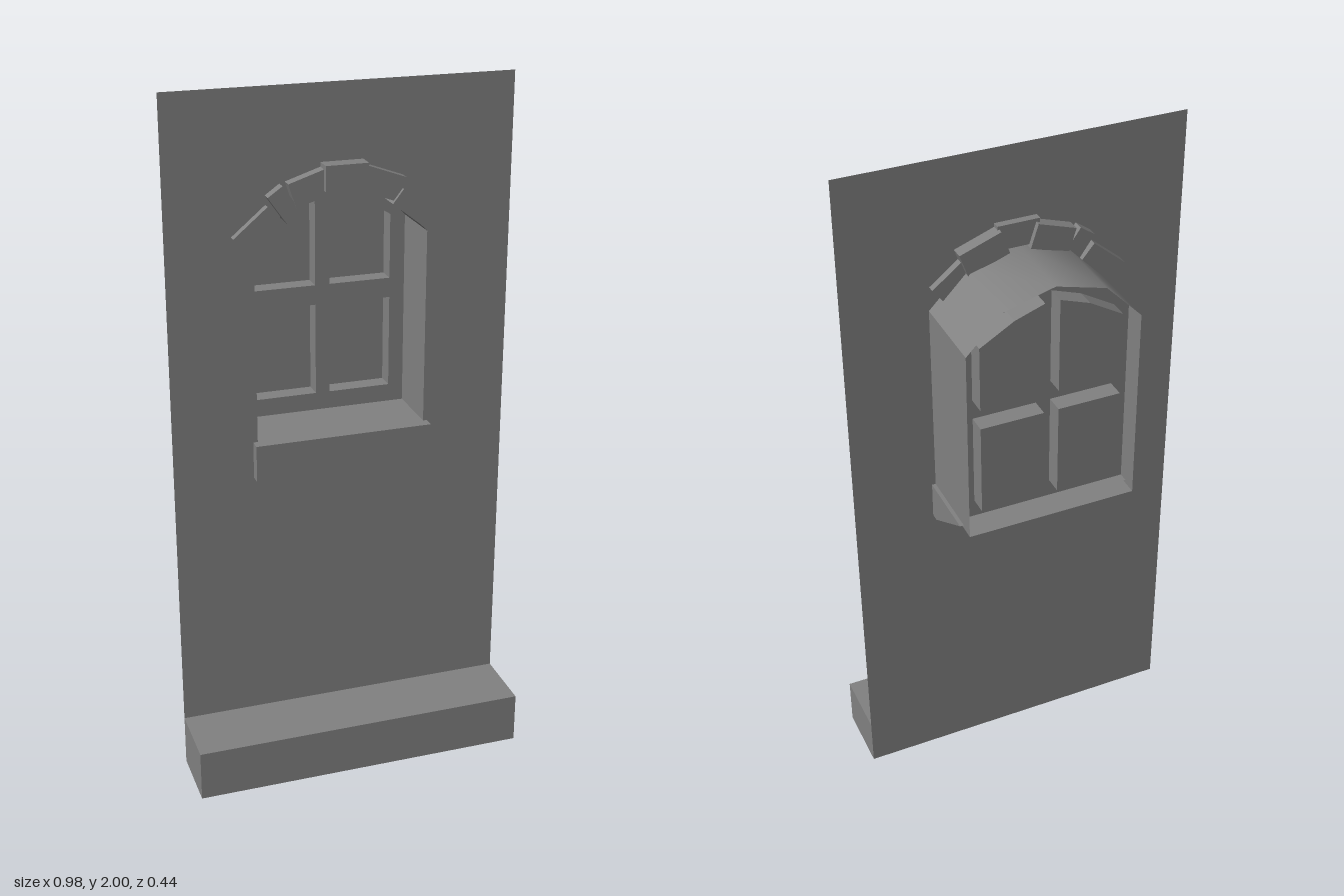
import * as THREE from 'three';

const HALF = 0.247;                        // half width of the window opening
const WALL_Z = 0.024, BACK_Z = -0.222;     // wall sheet and rear edge of the reveal
const FRAME_Z = -0.152, GLASS_Z = -0.205;  // frame face and panes

const material = new THREE.MeshStandardMaterial({ color: 0x818181, side: THREE.DoubleSide });
const flat = new THREE.MeshStandardMaterial({ color: 0x818181, side: THREE.DoubleSide, flatShading: true });

const V = (x, y) => new THREE.Vector2(x, y);

// Points of the shallow arch over the opening, from left to right
function arch(spring, apex, n) {
  const rise = apex - spring;
  const r = (HALF * HALF + rise * rise) / (2 * rise);
  const end = Math.asin(HALF / r);
  return Array.from({ length: n + 1 }, (_, i) => {
    const a = end * (2 * i / n - 1);
    return V(r * Math.sin(a), apex - r + r * Math.cos(a));
  });
}

// Sheet joining a row of outline points at two depths
function strip(points, z0, z1) {
  const pos = [], index = [];
  points.forEach((p, i) => {
    pos.push(p.x, p.y, z0, p.x, p.y, z1);
    if (i) {
      const k = 2 * i;
      index.push(k - 2, k, k - 1, k, k + 1, k - 1);
    }
  });
  const g = new THREE.BufferGeometry();
  g.setAttribute('position', new THREE.Float32BufferAttribute(pos, 3));
  g.setIndex(index);
  g.computeVertexNormals();
  return g;
}

export function createModel() {
  const model = new THREE.Group();
  model.name = 'wallWithWindow';
  const add = (name, geometry, mat = flat) => {
    const mesh = new THREE.Mesh(geometry, mat);
    mesh.name = name;
    model.add(mesh);
    return mesh;
  };

  // Arched outline of the opening
  const top = arch(1.575, 1.72, 4);
  const outline = [V(HALF, 1), V(-HALF, 1), ...top];

  // Wall sheet with the window opening
  const wall = new THREE.Shape([V(-0.49, 0), V(0.49, 0), V(0.49, 2), V(-0.49, 2)]);
  wall.holes.push(new THREE.Path(outline));
  add('wall', new THREE.ShapeGeometry(wall)).position.z = WALL_Z;

  // Plinth, open underneath and against the wall
  add('plinthTop', strip([V(0.49, 0.15), V(-0.49, 0.15)], WALL_Z, 0.222));
  add('plinthFront', new THREE.PlaneGeometry(0.98, 0.15)).position.set(0, 0.075, 0.222);
  for (const x of [-0.49, 0.49]) {
    add('plinthEnd', strip([V(x, 0), V(x, 0.15)], 0.222, WALL_Z));
  }

  // Window reveal: curved head, two jambs and floor
  add('revealHead', strip(top, WALL_Z, BACK_Z), material);
  for (const x of [-HALF, HALF]) {
    add('revealJamb', strip([V(x, 1), V(x, 1.575)], WALL_Z, BACK_Z));
  }
  add('revealFloor', strip([V(-HALF, 1), V(HALF, 1)], WALL_Z, BACK_Z));

  // Frame sheet with four lights, each a shallow box closed by its pane
  const frame = new THREE.Shape(outline);
  for (const s of [-1, 1]) {
    const xi = s * 0.021, xo = s * 0.203;
    const lights = [
      [V(xi, 1.062), V(xo, 1.062), V(xo, 1.333), V(xi, 1.333)],
      [V(xi, 1.391), V(xo, 1.391), V(xo, 1.58), V(s * 0.106, 1.637), V(xi, 1.667)],
    ];
    for (const light of lights) {
      frame.holes.push(new THREE.Path(light));
      add('paneSurround', strip([...light, light[0]], FRAME_Z, GLASS_Z));
      add('pane', new THREE.ShapeGeometry(new THREE.Shape(light))).position.z = GLASS_Z;
    }
  }
  add('windowFrame', new THREE.ShapeGeometry(frame)).position.z = FRAME_Z;

  // Sill: top, front and lower lip, open along the sloping underside
  const sillL = -0.26, sillR = 0.258, sillZ = 0.057, low = 0.902, high = 1.01;
  add('sillTop', strip([V(sillL, high), V(sillR, high)], sillZ, -0.18));
  add('sillFront', new THREE.PlaneGeometry(sillR - sillL, high - low))
    .position.set((sillL + sillR) / 2, (low + high) / 2, sillZ);
  add('sillLip', strip([V(sillL, low), V(sillR, low)], 0, sillZ));
  const sillEnd = new THREE.Shape([V(-sillZ, low), V(-sillZ, high), V(0.18, high), V(0, low)]);
  for (const x of [sillL, sillR]) {
    add('sillEnd', new THREE.ShapeGeometry(sillEnd).rotateY(Math.PI / 2)).position.x = x;
  }

  // Uneven arch stones: x, y, width, height, tilt in degrees, back z, front z
  const stones = [
    [-0.238, 1.62, 0.125, 0.07, 40, -0.011, 0.047],
    [-0.168, 1.69, 0.05, 0.09, 35, -0.008, 0.054],
    [-0.093, 1.73, 0.115, 0.07, 18, -0.013, 0.057],
    [0, 1.755, 0.12, 0.07, 0, 0.002, 0.072],
    [0.102, 1.727, 0.125, 0.07, -20, -0.013, 0.057],
    [0.187, 1.658, 0.105, 0.05, -38, 0.003, 0.067],
  ];
  for (const [x, y, w, h, tilt, z0, z1] of stones) {
    const stone = add('archStone', new THREE.BoxGeometry(w, h, z1 - z0));
    stone.position.set(x, y, (z0 + z1) / 2);
    stone.rotation.z = THREE.MathUtils.degToRad(tilt);
  }

  return model;
}
